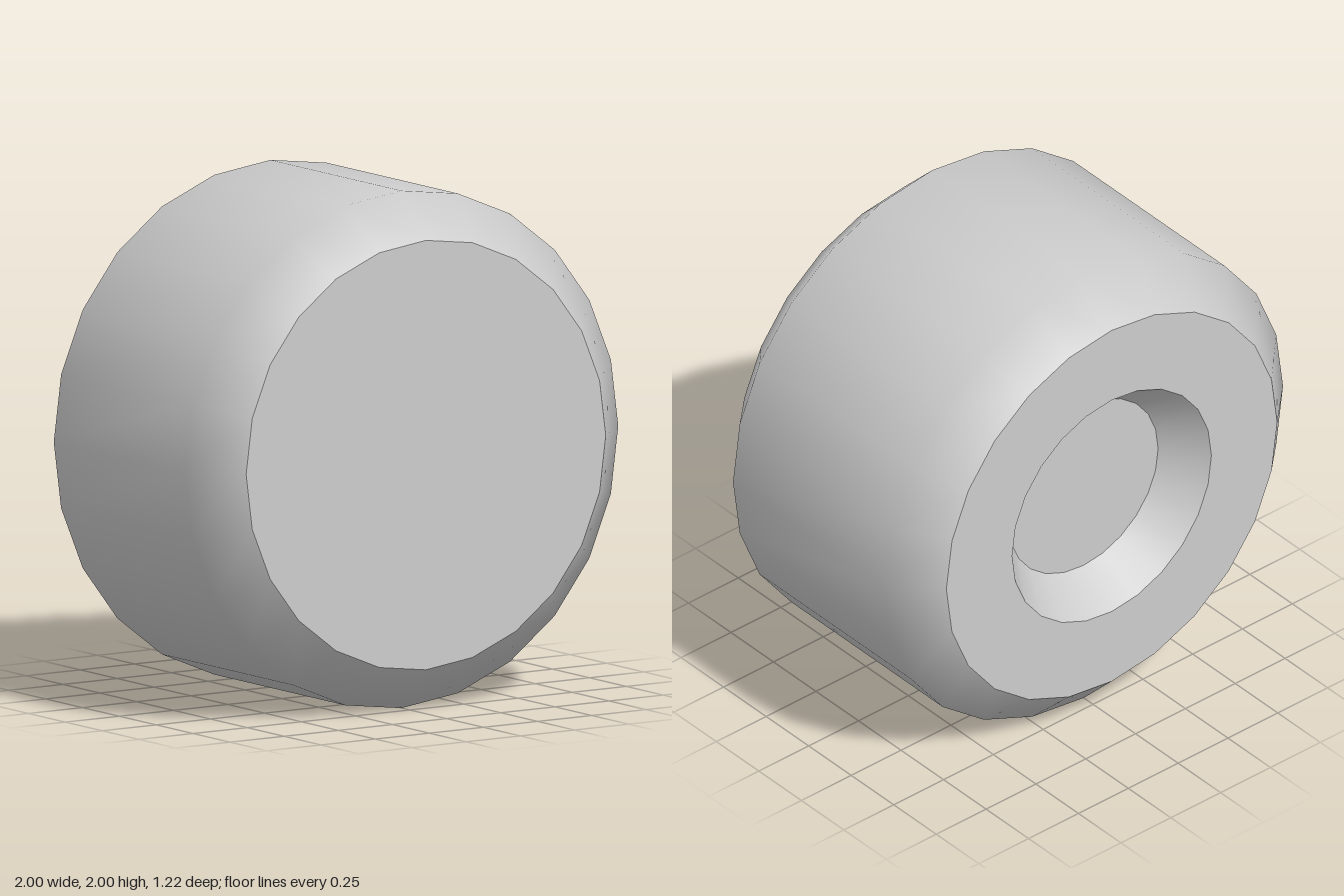
import * as THREE from 'three';

const SIDES = 24;

export function createModel() {
  const model = new THREE.Group();
  model.name = 'wheel';
  const grey = new THREE.MeshStandardMaterial({ color: 0xcccccc });
  grey.name = 'light grey';

  // Each part is a ring turned about the z axis from [radius, z] pairs, listed
  // so that the surface faces outwards; separate parts keep a sharp edge between them.
  const parts = {
    recessFloor: [[0, -0.443], [0.375, -0.443]],
    recessWall: [[0.375, -0.443], [0.5, -0.61]],
    backFace: [[0.5, -0.61], [0.83, -0.61]],
    tread: [[0.83, -0.61], [1, -0.445], [1, 0.445], [0.83, 0.61]],
    frontFace: [[0.83, 0.61], [0, 0.61]],
  };

  for (const [name, profile] of Object.entries(parts)) {
    const points = profile.map(([r, z]) => new THREE.Vector2(r, z));
    const geometry = new THREE.LatheGeometry(points, SIDES);
    geometry.rotateX(Math.PI / 2);
    geometry.translate(0, 1, 0);
    const mesh = new THREE.Mesh(geometry, grey);
    mesh.name = name;
    model.add(mesh);
  }
  return model;
}
